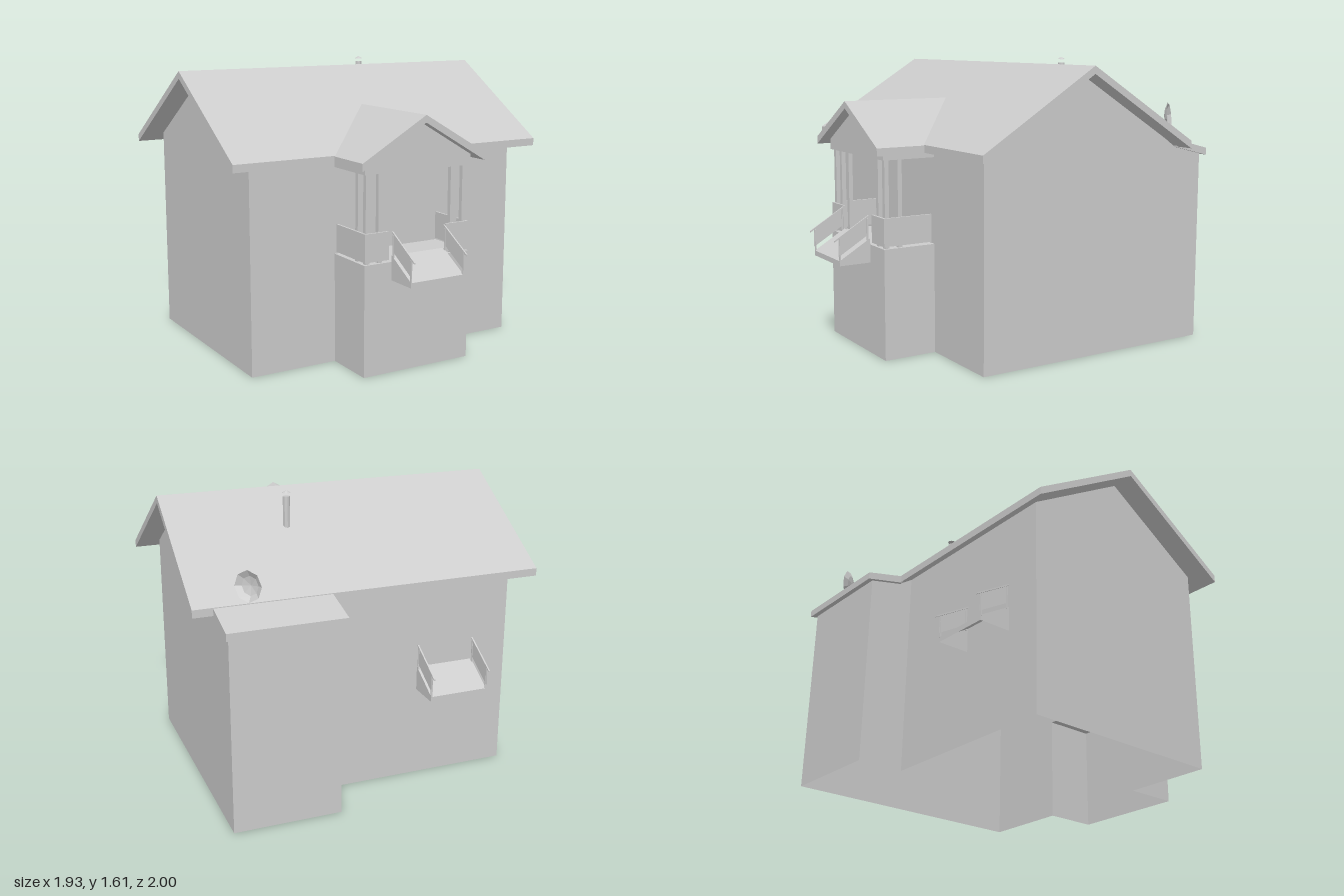
import * as THREE from 'three';

const mat = new THREE.MeshStandardMaterial({ color: 0xcccccc, flatShading: true, side: THREE.DoubleSide });

function add(parent, name, geo, x = 0, y = 0, z = 0) {
  const m = new THREE.Mesh(geo, mat);
  m.name = name;
  m.position.set(x, y, z);
  parent.add(m);
  return m;
}
const shape = (pts) => new THREE.Shape(pts.map(([a, b]) => new THREE.Vector2(a, b)));

// Flat panels: outline in (x, y) at a given z, or in (z, y) at a given x
const panelXY = (pts, z) => new THREE.ShapeGeometry(shape(pts)).translate(0, 0, z);
const panelZY = (pts, x) => new THREE.ShapeGeometry(shape(pts)).rotateY(-Math.PI / 2).translate(x, 0, 0);

// Solids: outline in (x, y) run along z, or in (z, y) run along x
const prismZ = (pts, z0, z1) =>
  new THREE.ExtrudeGeometry(shape(pts), { depth: z1 - z0, bevelEnabled: false }).translate(0, 0, z0);
const prismX = (pts, x0, x1) =>
  new THREE.ExtrudeGeometry(shape(pts), { depth: x1 - x0, bevelEnabled: false }).rotateY(-Math.PI / 2).translate(x1, 0, 0);

// Four-cornered sheet spanning x = -w..w between two (z, y) points
function sheet(w, [z0, y0], [z1, y1]) {
  const g = new THREE.BufferGeometry();
  g.setAttribute('position', new THREE.Float32BufferAttribute([-w, y0, z0, -w, y1, z1, w, y1, z1, w, y0, z0], 3));
  g.setIndex([0, 1, 2, 0, 2, 3]);
  g.computeVertexNormals();
  return g;
}

// Main dimensions
const W = 0.84, FRONT = 0.485, BACK = -0.70, EXT = -0.965, EXT_X = 0.25;
const RIDGE_Z = -0.107, RIDGE_Y = 1.58, EAVE_Y = 1.16, THICK = 0.042;
const PORCH_W = 0.335, PORCH_Z = 0.79, FLOOR = 0.61;
const SLOPE = (RIDGE_Y - EAVE_Y) / 0.677;
const WALL_TOP = RIDGE_Y - THICK - SLOPE * (FRONT - RIDGE_Z);

function buildWalls() {
  const g = new THREE.Group();
  g.name = 'walls';
  const top = RIDGE_Y - THICK;
  add(g, 'frontWall', panelXY([[-W, 0], [-PORCH_W, 0], [-PORCH_W, FLOOR], [PORCH_W, FLOOR],
    [PORCH_W, 0], [W, 0], [W, WALL_TOP], [-W, WALL_TOP]], FRONT));
  add(g, 'backWall', panelXY([[-W, 0], [EXT_X, 0], [EXT_X, WALL_TOP], [-W, WALL_TOP]], BACK));
  add(g, 'rightGable', panelZY([[BACK, 0], [FRONT, 0], [FRONT, WALL_TOP], [RIDGE_Z, top], [BACK, WALL_TOP]], -W));
  add(g, 'leftGable', panelZY([[EXT, 0], [FRONT, 0], [FRONT, WALL_TOP], [RIDGE_Z, top],
    [BACK, WALL_TOP], [-0.78, 1.115], [EXT, 1.07]], W));
  add(g, 'extensionBackWall', panelXY([[EXT_X, 0], [W, 0], [W, 1.07], [EXT_X, 1.07]], EXT));
  add(g, 'extensionSideWall', panelZY([[EXT, 0], [BACK, 0], [BACK, WALL_TOP], [-0.78, 1.115], [EXT, 1.07]], EXT_X));
  return g;
}

function buildRoofs() {
  const g = new THREE.Group();
  g.name = 'roofs';
  add(g, 'mainRoof', prismX([[0.57, EAVE_Y], [RIDGE_Z, RIDGE_Y], [-0.784, EAVE_Y],
    [-0.784, EAVE_Y - THICK], [RIDGE_Z, RIDGE_Y - THICK], [0.57, EAVE_Y - THICK]], -0.967, 0.967));
  add(g, 'extensionRoof', prismX([[-0.775, 1.158], [-1, 1.1], [-1, 1.06], [-0.775, 1.116]], 0.23, 0.86));

  // Porch roof: its rear end is trimmed to lie on the main roof slope
  const roof = prismZ([[-0.385, 1.157], [-0.385, 1.115], [0, 1.34], [0.385, 1.115], [0.385, 1.157], [0, 1.38]], 0, 0.85);
  const p = roof.attributes.position;
  for (let i = 0; i < p.count; i++) {
    if (p.getZ(i) < 0.1) p.setZ(i, Math.min(0.57, RIDGE_Z + (RIDGE_Y - p.getY(i)) / SLOPE));
  }
  roof.computeVertexNormals();
  add(g, 'porchRoof', roof);
  return g;
}

function buildPorch() {
  const g = new THREE.Group();
  g.name = 'porch';
  add(g, 'porchFloor', sheet(PORCH_W, [FRONT, FLOOR], [PORCH_Z, FLOOR]));
  add(g, 'porchBaseFront', sheet(PORCH_W, [PORCH_Z, FLOOR], [PORCH_Z, 0]));
  add(g, 'pediment', prismZ([[-PORCH_W, 1.085], [PORCH_W, 1.085], [PORCH_W, 1.144], [0, 1.34], [-PORCH_W, 1.144]], FRONT, PORCH_Z));
  for (const s of [-1, 1]) {
    add(g, 'porchBaseSide', panelZY([[FRONT, 0], [PORCH_Z, 0], [PORCH_Z, FLOOR], [FRONT, FLOOR]], s * PORCH_W));
    add(g, 'parapetFront', new THREE.BoxGeometry(0.147, 0.153, 0.012), s * 0.257, 0.699, 0.782);
    add(g, 'parapetSide', new THREE.BoxGeometry(0.012, 0.153, 0.285), s * 0.325, 0.699, 0.642);
    for (const [x, z] of [[0.307, 0.763], [0.307, 0.685], [0.23, 0.763]]) {
      add(g, 'column', new THREE.BoxGeometry(0.025, 0.475, 0.025), s * x, 0.8475, z);
    }
  }
  return g;
}

// Ramped steps with an open underside and a railing on each side
function buildSteps(name) {
  const g = new THREE.Group();
  g.name = name;
  const w = 0.167;
  add(g, 'ramp', sheet(w, [0, 0.645], [0.182, 0.538]));
  add(g, 'lip', sheet(w, [0.182, 0.538], [0.182, 0.51]));
  for (const s of [-1, 1]) {
    add(g, 'stepSide', panelZY([[0, 0.51], [0.182, 0.51], [0.182, 0.538], [0, 0.645]], s * w));
    add(g, 'railPanel', panelZY([[0.01, 0.665], [0.187, 0.56], [0.187, 0.655], [0.01, 0.762]], s * 0.165));
    const x = s * 0.165;
    add(g, 'handrail', prismX([[0.005, 0.765], [0.21, 0.643], [0.21, 0.652], [0.005, 0.774]], x - 0.004, x + 0.004));
    for (const z of [0.015, 0.178]) {
      const y0 = 0.64 - 0.588 * z, y1 = 0.765 - 0.595 * z;
      add(g, 'railPost', new THREE.BoxGeometry(0.008, y1 - y0, 0.008), x, (y0 + y1) / 2, z);
    }
  }
  return g;
}

export function createModel() {
  const model = new THREE.Group();
  model.name = 'house';
  model.add(buildWalls(), buildRoofs(), buildPorch());

  const frontSteps = buildSteps('frontSteps');
  frontSteps.position.z = PORCH_Z;
  const backSteps = buildSteps('backSteps');
  backSteps.position.set(-0.467, 0, BACK);
  backSteps.rotation.y = Math.PI;
  model.add(frontSteps, backSteps);

  // Flue pipe with a small conical cap
  add(model, 'fluePipe', new THREE.CylinderGeometry(0.02, 0.02, 0.2, 8), 0.33, 1.48, -0.36);
  add(model, 'flueCap', new THREE.ConeGeometry(0.023, 0.014, 8), 0.33, 1.605, -0.36);

  // Dish: shallow eight-sided bowl facing sideways and back
  const bowl = new THREE.LatheGeometry([[0, 0], [0.05, 0.01], [0.081, 0.028]].map((q) => new THREE.Vector2(...q)), 8);
  const dish = add(model, 'dish', bowl, 0.68, 1.27, -0.838);
  dish.quaternion.setFromUnitVectors(new THREE.Vector3(0, 1, 0), new THREE.Vector3(0.78, 0.1, -0.62).normalize());
  return model;
}
